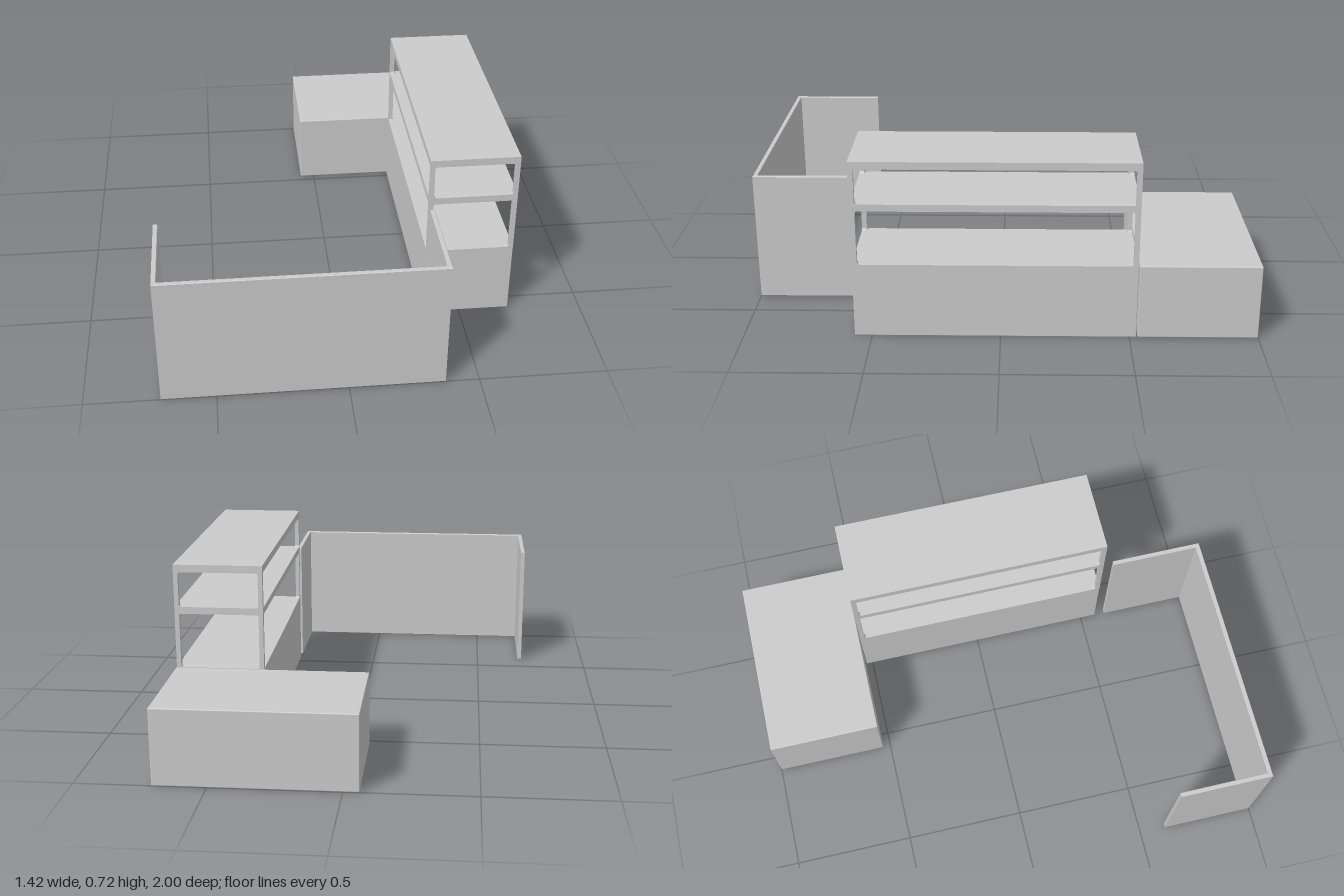
import * as THREE from 'three';
import { RoundedBoxGeometry } from 'three/addons/geometries/RoundedBoxGeometry.js';

const material = new THREE.MeshStandardMaterial({ color: 0xcccccc });
const T = 0.018; // thickness of frames and panels

function add(group, name, geometry) {
  const mesh = new THREE.Mesh(geometry, material);
  mesh.name = name;
  group.add(mesh);
  return mesh;
}

// Box given by its lower and upper corners, edges slightly eased
function block(group, name, [x0, y0, z0], [x1, y1, z1], r = 0.004) {
  const mesh = add(group, name, r
    ? new RoundedBoxGeometry(x1 - x0, y1 - y0, z1 - z0, 2, r)
    : new THREE.BoxGeometry(x1 - x0, y1 - y0, z1 - z0));
  mesh.position.set((x0 + x1) / 2, (y0 + y1) / 2, (z0 + z1) / 2);
  return mesh;
}

function roundedHole(x0, y0, x1, y1, r = 0.01) {
  const p = new THREE.Path();
  p.absarc(x1 - r, y1 - r, r, 0, Math.PI / 2);
  p.absarc(x0 + r, y1 - r, r, Math.PI / 2, Math.PI);
  p.absarc(x0 + r, y0 + r, r, Math.PI, Math.PI * 1.5);
  p.absarc(x1 - r, y0 + r, r, Math.PI * 1.5, Math.PI * 2);
  p.closePath();
  return p;
}

// Upright frame with two openings, one above the other
function frameGeometry(halfOuter, halfInner) {
  const s = new THREE.Shape([
    new THREE.Vector2(-halfOuter, 0.296), new THREE.Vector2(halfOuter, 0.296),
    new THREE.Vector2(halfOuter, 0.72), new THREE.Vector2(-halfOuter, 0.72),
  ]);
  s.holes.push(roundedHole(-halfInner, 0.302, halfInner, 0.522));
  s.holes.push(roundedHole(-halfInner, 0.55, halfInner, 0.69));
  return new THREE.ExtrudeGeometry(s, { depth: T, bevelEnabled: false, curveSegments: 5 })
    .translate(0, 0, -T / 2);
}

function shelfUnit() {
  const g = new THREE.Group();
  g.name = 'shelfUnit';
  const x0 = 0.355, x1 = 0.705, z0 = -0.527, z1 = 0.568;
  const cx = (x0 + x1) / 2, cz = (z0 + z1) / 2;
  const hx = (x1 - x0) / 2, hz = (z1 - z0) / 2;
  block(g, 'shelfBase', [x0, 0, z0], [x1, 0.302, z1], 0.002);
  // End and long side frames
  for (const s of [-1, 1]) {
    const end = add(g, 'endFrame', frameGeometry(hx, hx - T));
    end.position.set(cx, 0, cz + s * (hz - T / 2));
    const side = add(g, 'sideFrame', frameGeometry(hz - T + 0.002, hz - T - 0.002));
    side.rotation.y = Math.PI / 2;
    side.position.set(cx + s * (hx - T / 2), 0, cz);
  }
  // Boards set inside the frames
  block(g, 'middleShelf', [x0 + T, 0.522, z0 + T], [x1 - T, 0.55, z1 - T], 0);
  block(g, 'topShelf', [x0 + T, 0.69, z0 + T], [x1 - T, 0.72, z1 - T], 0);
  return g;
}

// Three-sided privacy screen, drawn in plan and raised
function screen() {
  const x0 = -0.71, x1 = 0.37, back = -0.613, front = -1, b = 0.002;
  const plan = [
    [x0 + b, back - b], [x0 + b, front + b], [x1 - b, front + b], [x1 - b, back - b],
    [x1 - T + b, back - b], [x1 - T + b, front + T - b],
    [x0 + T - b, front + T - b], [x0 + T - b, back - b],
  ];
  const shape = new THREE.Shape(plan.map(([x, y]) => new THREE.Vector2(x, y)));
  return new THREE.ExtrudeGeometry(shape, {
    depth: 0.53 - 2 * b, bevelSize: b, bevelThickness: b, bevelSegments: 1,
  }).translate(0, 0, b).rotateX(-Math.PI / 2);
}

export function createModel() {
  const model = new THREE.Group();
  model.name = 'deskScreenAndStorage';
  add(model, 'screen', screen());
  model.add(shelfUnit());
  block(model, 'lowCabinet', [-0.062, 0, -1], [0.707, 0.303, -0.532]);
  return model;
}
